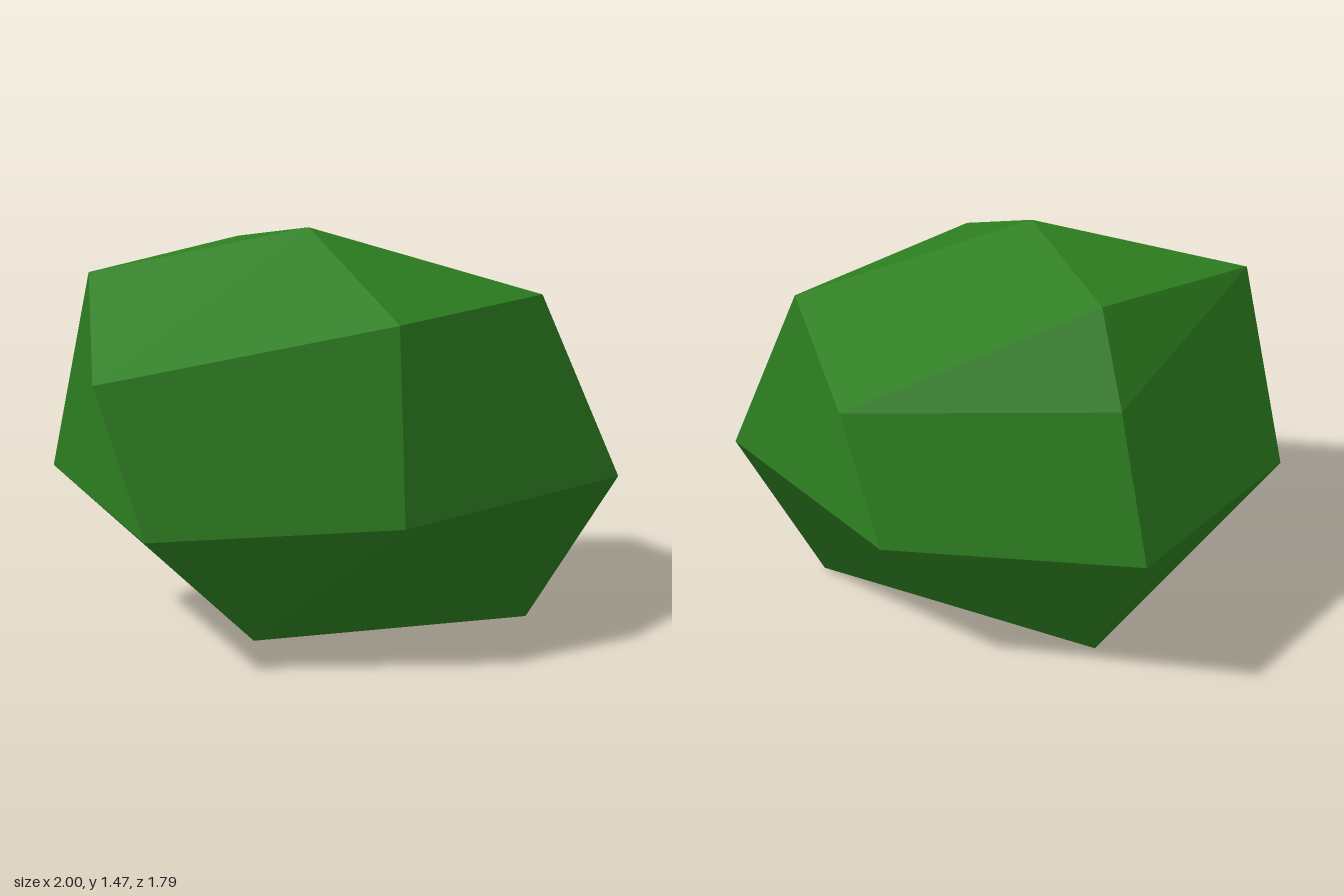
import * as THREE from 'three';

// Corner points of the faceted bush; the shoulder and belly rings run from +x towards +z
const crown = [[-0.12, 1.47, 0.16], [-0.23, 1.39, -0.475]];
const shoulder = [
  [0.75, 1.21, 0.24], [0, 1.2, 0.85], [-0.97, 1.0, 0.57],
  [-0.88, 1.31, -0.05], [-0.26, 1.08, -0.66], [0.68, 1.1, -0.52],
];
const belly = [
  [1.0, 0.545, 0.4], [0.01, 0.525, 0.895], [-0.83, 0.49, 0.7],
  [-1.0, 0.575, -0.23], [-0.3, 0.605, -0.9], [0.56, 0.555, -0.525],
];
const base = [[0.69, 0, 0.285], [-0.41, 0.055, 0.48], [-0.22, 0.04, -0.53]];

// Flat facets: each is fanned from its first corner and shares one normal
function facetGeometry(facets) {
  const positions = [];
  const normals = [];
  for (const facet of facets) {
    const pts = facet.map((p) => new THREE.Vector3(...p));
    const normal = new THREE.Vector3();
    pts.forEach((p, i) => normal.add(p.clone().cross(pts[(i + 1) % pts.length])));
    normal.normalize();
    for (let i = 1; i < pts.length - 1; i++) {
      for (const p of [pts[0], pts[i], pts[i + 1]]) {
        positions.push(...p.toArray());
        normals.push(...normal.toArray());
      }
    }
  }
  const geometry = new THREE.BufferGeometry();
  geometry.setAttribute('position', new THREE.Float32BufferAttribute(positions, 3));
  geometry.setAttribute('normal', new THREE.Float32BufferAttribute(normals, 3));
  return geometry;
}

export function createModel() {
  const leafGreen = new THREE.MeshStandardMaterial({ color: 0x2d7f20 });
  leafGreen.name = 'leafGreen';

  const [peak, ridge] = crown;
  const s = shoulder;
  const b = belly;
  const [footLeft, footRight, footBack] = base;

  const parts = {
    // Cap sloping down from the peak and the ridge behind it
    top: [
      [peak, s[1], s[0]], [peak, s[3], s[2], s[1]], [peak, s[0], s[5], ridge],
      [peak, ridge, s[3]], [ridge, s[4], s[3]], [ridge, s[5], s[4]],
    ],
    // Band of six four-sided facets
    sides: s.map((corner, i) => {
      const next = (i + 1) % s.length;
      return [corner, s[next], b[next], b[i]];
    }),
    // Underside tapering to a three-cornered base
    underside: [
      [b[1], footRight, footLeft, b[0]], [b[1], b[2], footRight], [b[2], b[3], footRight],
      [b[3], footBack, footRight], [b[3], b[4], footBack], [b[4], b[5], footBack],
      [b[5], b[0], footLeft, footBack], [footRight, footBack, footLeft],
    ],
  };

  const group = new THREE.Group();
  group.name = 'bush';
  for (const [name, facets] of Object.entries(parts)) {
    const mesh = new THREE.Mesh(facetGeometry(facets), leafGreen);
    mesh.name = name;
    group.add(mesh);
  }
  return group;
}
